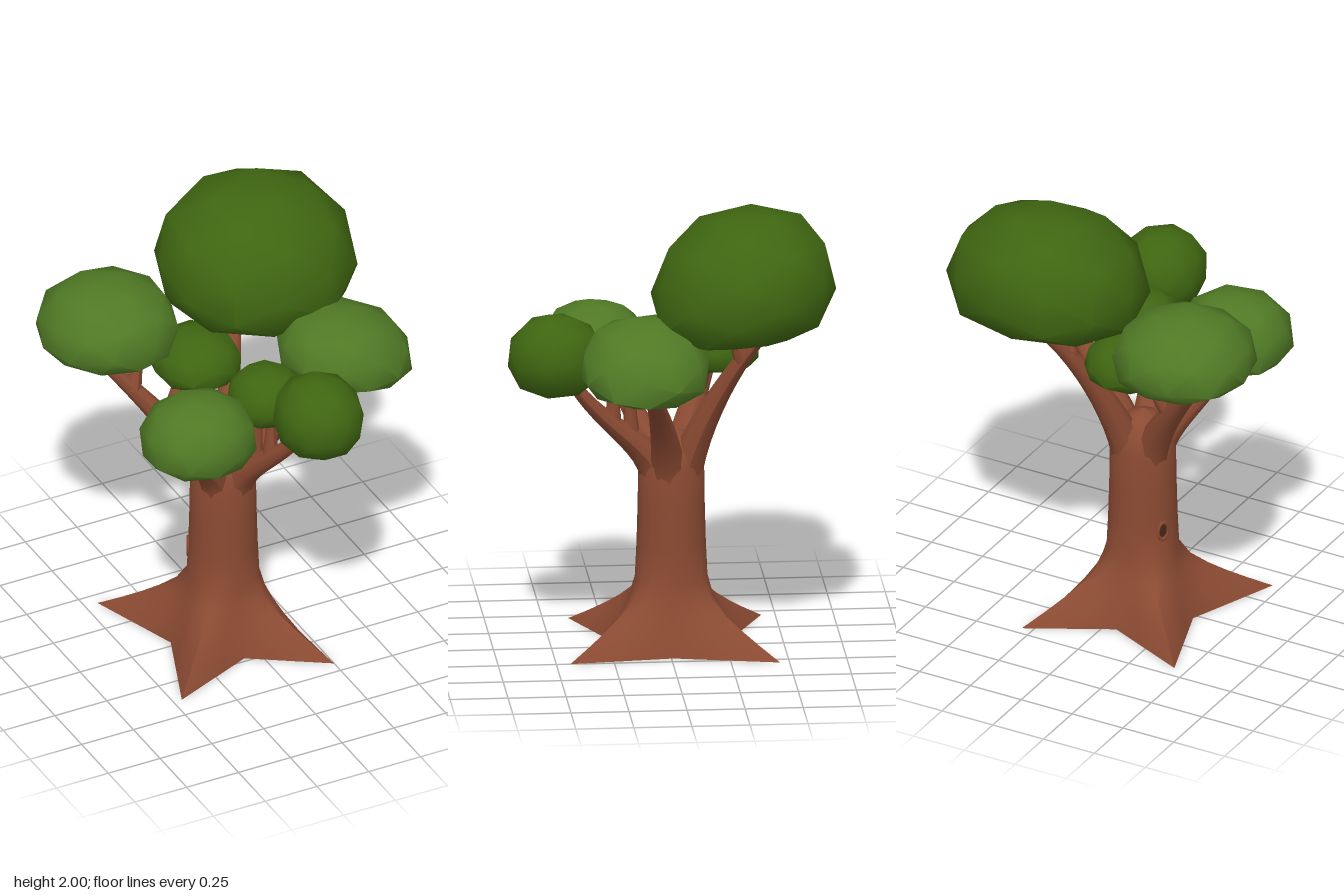
import * as THREE from 'three';
import { mergeVertices, toCreasedNormals } from 'three/addons/utils/BufferGeometryUtils.js';

const bark = new THREE.MeshStandardMaterial({ color: 0x8a4a32, side: THREE.DoubleSide });
const hollowBark = new THREE.MeshStandardMaterial({ color: 0x4a261a });
const darkLeaf = new THREE.MeshStandardMaterial({ color: 0x3f6611 });
const lightLeaf = new THREE.MeshStandardMaterial({ color: 0x507a25 });
const CX = -0.05, CZ = -0.02; // trunk axis
const vec = (x, y, z) => new THREE.Vector3(x, y, z);

function addMesh(parent, name, geometry, material) {
  const mesh = new THREE.Mesh(geometry, material);
  mesh.name = name;
  parent.add(mesh);
}

// Outline of the root star: four pointed tips with hollows between them
function rootStar() {
  const tips = [[0.3, 0.46], [-0.41, 0.41], [-0.39, -0.42], [0.35, -0.44]];
  const star = [], steps = 6;
  tips.forEach((tip, i) => {
    const next = tips[(i + 1) % 4];
    const a = Math.atan2(tip[1], tip[0]);
    let b = Math.atan2(next[1], next[0]);
    if (b < a) b += Math.PI * 2;
    const vx = 0.25 * Math.cos((a + b) / 2), vz = 0.25 * Math.sin((a + b) / 2);
    for (let j = 0; j < steps; j++) {
      const t = j / steps, w = Math.abs(1 - 2 * t);
      const [ex, ez] = t < 0.5 ? tip : next;
      star.push({ angle: a + (b - a) * t, x: vx + (ex - vx) * w, z: vz + (ez - vz) * w });
    }
  });
  return star;
}

// Trunk: round rings that blend into the root star, open at the ground
function trunkGeometry() {
  const star = rootStar(), n = star.length, pos = [], index = [];
  const heights = [0, 0.015, 0.06, 0.11, 0.16, 0.22, 0.3, 0.45, 0.62, 0.8, 0.88, 0.93, 0.959];
  for (const y of heights) {
    const dome = Math.sqrt(1 - (Math.max(0, y - 0.8) / 0.16) ** 2);
    const r = (0.139 + 0.05 * Math.exp(-3.5 * y)) * dome;
    const k = Math.max(0, 1 - y / 0.29) ** 1.5;
    for (const s of star) {
      const x = r * Math.cos(s.angle), z = r * Math.sin(s.angle);
      pos.push(CX + x + (s.x - x) * k, y, CZ + z + (s.z - z) * k);
    }
  }
  for (let i = 0; i < heights.length - 1; i++) {
    for (let j = 0; j < n; j++) {
      const a = i * n + j, b = i * n + (j + 1) % n, c = a + n, d = b + n;
      index.push(a, c, b, b, c, d);
    }
  }
  const g = new THREE.BufferGeometry();
  g.setAttribute('position', new THREE.Float32BufferAttribute(pos, 3));
  g.setIndex(index);
  return toCreasedNormals(g, 0.9);
}

// Branch: a tube tapering from r0 to r1 and closed at its tip
function branchGeometry(curve, r0, r1) {
  const segments = 12, sides = 8;
  const g = new THREE.TubeGeometry(curve, segments, 1, sides);
  const pos = g.attributes.position, v = vec(0, 0, 0);
  for (let i = 0; i < pos.count; i++) {
    const ring = Math.floor(i / (sides + 1)), t = ring / segments;
    const c = curve.getPointAt(t);
    const r = ring === segments ? 0.001 : r1 + (r0 - r1) * (1 - t) ** 1.5;
    v.fromBufferAttribute(pos, i).sub(c).multiplyScalar(r).add(c);
    pos.setXYZ(i, v.x, v.y, v.z);
  }
  g.computeVertexNormals();
  return g;
}

// Limb: rises inside the trunk, bends out towards its end and sends off forks
function addLimb(tree, name, end, bow, forks) {
  const out = vec(end.x - CX, 0, end.z - CZ).setLength(0.05);
  const start = vec(CX, 0.7, CZ).add(out);
  const crotch = vec(CX, 0.92, CZ).addScaledVector(out, 1.6);
  const elbow = crotch.clone().lerp(end, 0.55);
  elbow.y += bow;
  const curve = new THREE.CubicBezierCurve3(start, crotch, elbow, end);
  const limb = new THREE.Group();
  limb.name = name;
  addMesh(limb, 'mainBranch', branchGeometry(curve, 0.085, 0.026), bark);
  for (const [t, tip] of forks) {
    const root = curve.getPoint(t), bend = root.clone().lerp(tip, 0.5);
    bend.y -= 0.04;
    addMesh(limb, 'fork', branchGeometry(new THREE.QuadraticBezierCurve3(root, bend, tip), 0.038, 0.02), bark);
  }
  tree.add(limb);
}

// Leaf clump: a coarse ball with a flattened underside, filling low..high
function clumpGeometry(low, high, turn, squash, leanX, leanZ) {
  let g = new THREE.IcosahedronGeometry(1, 1);
  g.deleteAttribute('uv');
  g.deleteAttribute('normal');
  g = mergeVertices(g, 1e-3);
  g.rotateX(turn * 0.7);
  g.rotateY(turn);
  const pos = g.attributes.position, v = vec(0, 0, 0);
  for (let i = 0; i < pos.count; i++) {
    v.fromBufferAttribute(pos, i);
    const sum = Math.abs(v.x) ** 2.25 + Math.abs(v.y) ** 2.25 + Math.abs(v.z) ** 2.25;
    v.divideScalar(sum ** (1 / 2.25));
    if (v.y < -0.3) v.y = -0.3 + (v.y + 0.3) * squash;
    pos.setXYZ(i, v.x, v.y + leanX * v.x + leanZ * v.z, v.z);
  }
  g.computeBoundingBox();
  const box = g.boundingBox;
  const size = high.clone().sub(low).divide(box.getSize(vec(0, 0, 0)));
  g.translate(-box.min.x, -box.min.y, -box.min.z);
  g.scale(size.x, size.y, size.z);
  g.translate(low.x, low.y, low.z);
  return toCreasedNormals(g, 0.9);
}

export function createModel() {
  const tree = new THREE.Group();
  tree.name = 'tree';
  addMesh(tree, 'trunk', trunkGeometry(), bark);

  // Knothole on the back right of the trunk
  const knot = new THREE.Group();
  knot.name = 'knothole';
  addMesh(knot, 'knotRim', new THREE.TorusGeometry(0.026, 0.007, 6, 10), bark);
  addMesh(knot, 'knotHollow', new THREE.CircleGeometry(0.026, 10), hollowBark);
  knot.position.set(CX - 0.136, 0.43, CZ - 0.065);
  knot.rotation.y = Math.atan2(-0.9, -0.43);
  knot.scale.y = 1.6;
  tree.add(knot);

  // Limbs, each with the place and tip of its forks
  addLimb(tree, 'leftLimb', vec(0.6, 1.29, 0.15), 0.14, [[0.62, vec(0.32, 1.38, 0.08)]]);
  addLimb(tree, 'backLimb', vec(0.26, 1.53, -0.47), 0.1, [[0.7, vec(0.17, 1.52, -0.26)]]);
  addLimb(tree, 'backRightLimb', vec(-0.55, 1.43, -0.32), -0.02,
    [[0.5, vec(-0.15, 1.3, -0.2)], [0.72, vec(-0.34, 1.45, -0.24)]]);
  addLimb(tree, 'frontRightLimb', vec(-0.38, 1.25, 0.25), -0.16, [[0.6, vec(-0.24, 1.25, 0.18)]]);
  addLimb(tree, 'frontLimb', vec(0.12, 1.25, 0.44), -0.14,
    [[0.45, vec(0.02, 1.24, 0.17)], [0.62, vec(0.05, 1.24, 0.24)]]);

  // Leaf clumps: name, colour, low corner, high corner, underside depth, lean in x and z
  const clumps = [
    ['crownClump', darkLeaf, vec(-0.18, 1.43, -0.7), vec(0.69, 2, 0.09), 0.45, 0, -0.12],
    ['backRightClump', lightLeaf, vec(-0.74, 1.38, -0.65), vec(-0.14, 1.7, -0.05), 0.3],
    ['frontRightClump', lightLeaf, vec(-0.58, 1.13, 0.06), vec(-0.08, 1.45, 0.52), 0.4],
    ['frontClump', darkLeaf, vec(-0.04, 1.17, 0.29), vec(0.33, 1.53, 0.7), 0.8],
    ['leftClump', lightLeaf, vec(0.17, 1.25, -0.14), vec(0.74, 1.58, 0.41), 0.35, -0.2],
    ['innerFrontClump', darkLeaf, vec(-0.1, 1.17, 0), vec(0.22, 1.42, 0.34), 0.6],
    ['innerBackClump', darkLeaf, vec(-0.28, 1.21, -0.4), vec(0.1, 1.43, 0), 0.5],
  ];
  clumps.forEach(([name, leaf, low, high, squash, leanX = 0, leanZ = 0], i) => {
    addMesh(tree, name, clumpGeometry(low, high, 0.4 + 0.8 * i, squash, leanX, leanZ), leaf);
  });
  return tree;
}
